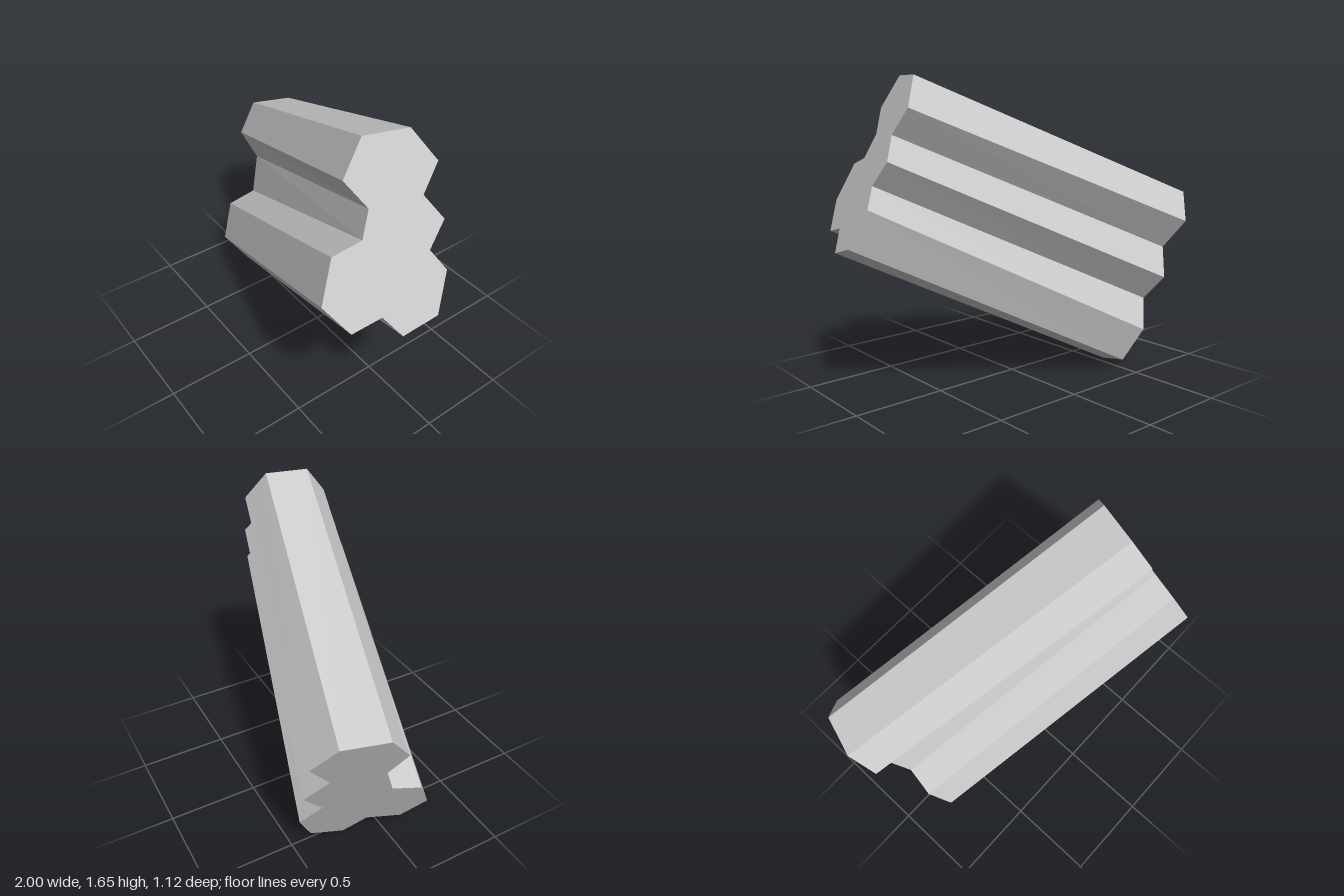
import * as THREE from 'three';

// Outline of the right-hand end cap, clockwise seen from +x:
// [z, y, and the shift dz, dy to the matching corner of the far cap]
const OUTLINE = [
  [0.20, 1.651, -0.438, -0.642],
  [-0.026, 1.645, -0.438, -0.642],
  [-0.12, 1.487, -0.439, -0.638],
  [-0.017, 1.359, -0.415, -0.673],
  [-0.092, 1.237, -0.433, -0.704],
  [0.009, 1.119, -0.411, -0.726],
  [-0.052, 1.014, -0.433, -0.774],
  [0.039, 0.822, -0.428, -0.774],
  [0.227, 0.774, -0.433, -0.769],
  [0.302, 0.883, -0.415, -0.739],
  [0.459, 0.848, -0.376, -0.752],
  [0.558, 0.997, -0.377, -0.752],
  [0.459, 1.195, -0.374, -0.754],
  [0.306, 1.233, -0.385, -0.743],
  [0.245, 1.355, -0.41, -0.663],
  [0.328, 1.491, -0.438, -0.642],
].reverse();

// Both caps are flat and tilted: x follows from y and z
const nearCap = (y, z) => new THREE.Vector3(1.369 - 0.4438 * y - 0.271 * z, y, z);
const farCap = (y, z) => new THREE.Vector3(-0.607 - 0.4645 * y - 0.297 * z, y, z);

function barGeometry() {
  const near = OUTLINE.map(([z, y]) => nearCap(y, z));
  const far = OUTLINE.map(([z, y, dz, dy]) => farCap(y + dy, z + dz));
  const points = [];

  // End caps
  const contour = OUTLINE.map(([z, y]) => new THREE.Vector2(-z, y));
  for (const [a, b, c] of THREE.ShapeUtils.triangulateShape(contour, [])) {
    points.push(near[a], near[b], near[c], far[c], far[b], far[a]);
  }

  // Long grooved sides
  for (let i = 0; i < near.length; i++) {
    const j = (i + 1) % near.length;
    points.push(far[i], far[j], near[j], far[i], near[j], near[i]);
  }

  const geometry = new THREE.BufferGeometry().setFromPoints(points);
  geometry.computeVertexNormals();
  return geometry;
}

export function createModel() {
  const group = new THREE.Group();
  const material = new THREE.MeshStandardMaterial({ color: 0xcccccc, flatShading: true });
  const bar = new THREE.Mesh(barGeometry(), material);
  bar.name = 'groovedBar';
  group.add(bar);
  return group;
}
